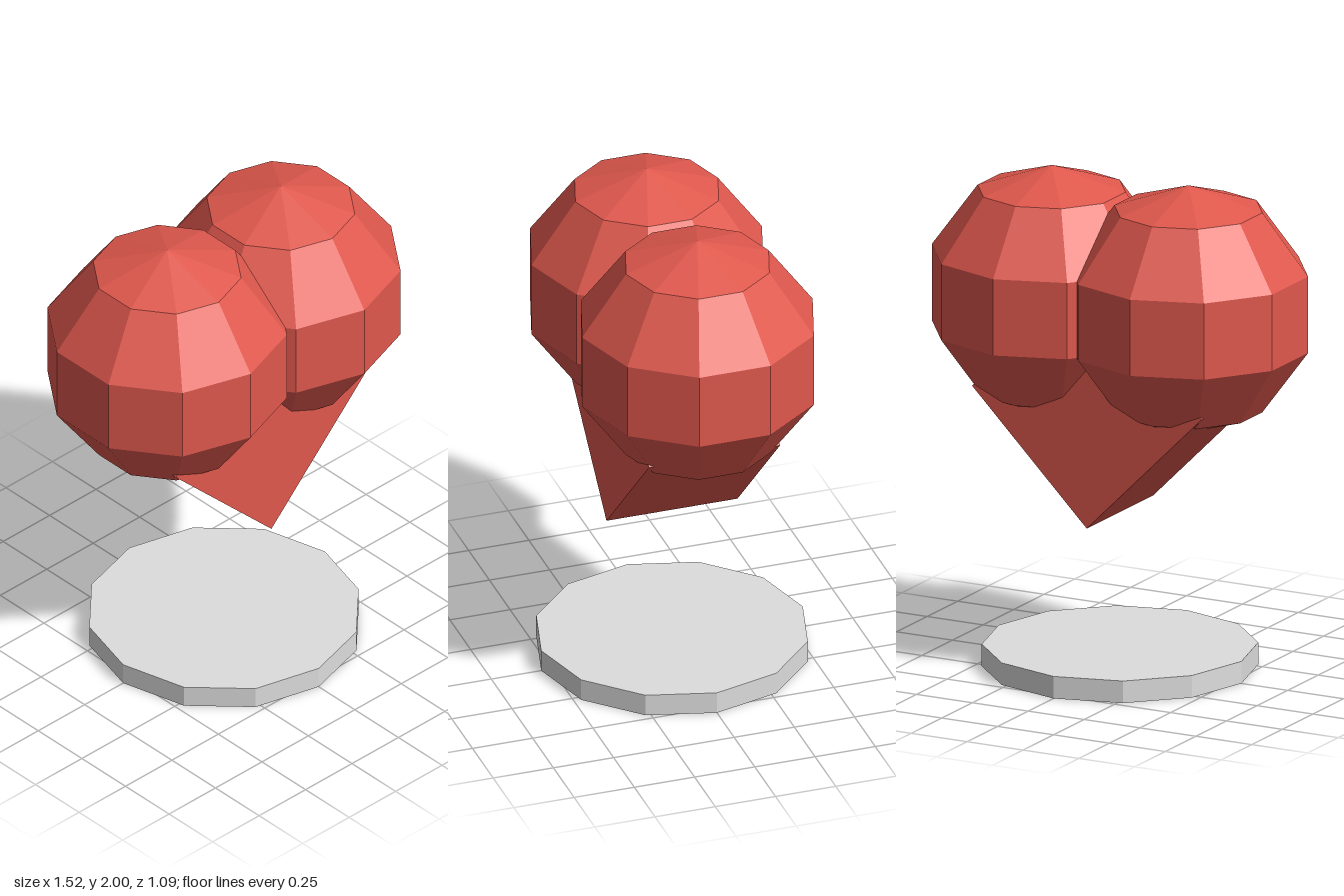
import * as THREE from 'three';

export function createModel() {
  const group = new THREE.Group();
  const red = new THREE.MeshStandardMaterial({ name: 'heart red', color: 0xe0584d, flatShading: true });
  const grey = new THREE.MeshStandardMaterial({ name: 'base grey', color: 0xdddddd, flatShading: true });

  const add = (name, geometry, material, x, y) => {
    const mesh = new THREE.Mesh(geometry, material);
    mesh.name = name;
    mesh.position.set(x, y, 0);
    group.add(mesh);
    return mesh;
  };

  // flat twelve-sided disc under the floating heart
  add('base', new THREE.CylinderGeometry(0.543, 0.543, 0.09, 12), grey, 0, 0.045);

  // two faceted lobes, with a corner of each ring pointing to the front
  for (const [name, side] of [['leftLobe', 1], ['rightLobe', -1]]) {
    const lobe = add(name, new THREE.SphereGeometry(0.503, 10, 5), red, side * 0.306, 1.497);
    lobe.rotation.y = Math.PI / 2;
  }

  // block standing on its edge forms the heart's point
  const point = add('heartPoint', new THREE.BoxGeometry(0.726, 0.726, 0.544), red, 0, 1.139);
  point.rotation.z = Math.PI / 4;

  return group;
}
